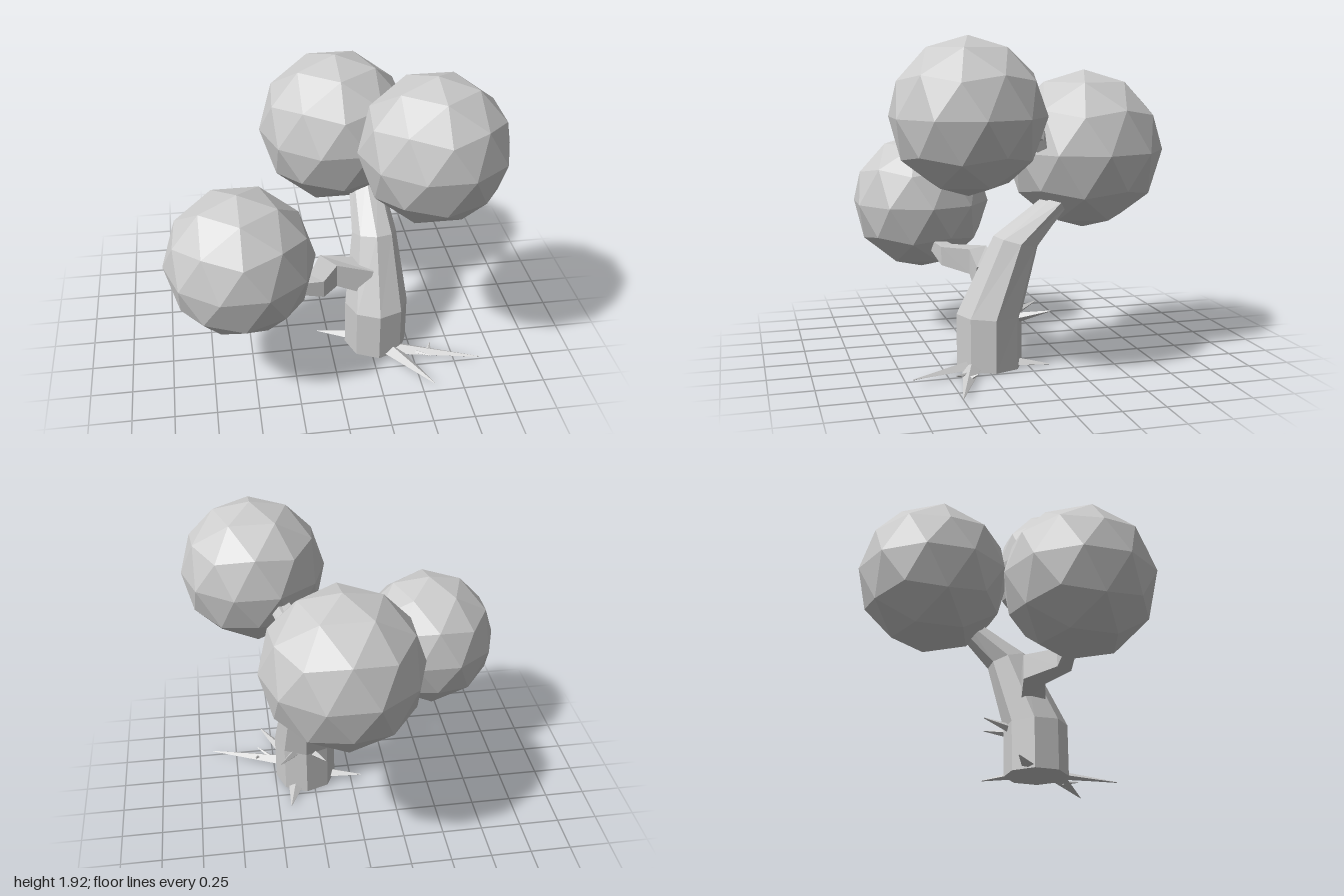
import * as THREE from 'three';

const V = (p) => new THREE.Vector3(...p);

// Skin a row of polygon rings. ring: { c: centre, n: facing, r: radius along u, r2: radius along v }
function loft(rings, sides, ref, turn = 0) {
  const pos = [], index = [];
  for (const { c, n, r, r2 = r } of rings) {
    const axis = V(n).normalize();
    const u = V(ref).addScaledVector(axis, -V(ref).dot(axis)).normalize();
    const v = new THREE.Vector3().crossVectors(axis, u);
    for (let i = 0; i < sides; i++) {
      const a = turn + (i / sides) * Math.PI * 2;
      const p = V(c).addScaledVector(u, Math.cos(a) * r).addScaledVector(v, Math.sin(a) * r2);
      pos.push(p.x, p.y, p.z);
    }
  }
  for (let k = 0; k < rings.length - 1; k++) {
    for (let i = 0; i < sides; i++) {
      const j = (i + 1) % sides, a = k * sides, b = a + sides;
      index.push(a + i, a + j, b + j, a + i, b + j, b + i);
    }
  }
  const top = (rings.length - 1) * sides;
  for (let i = 1; i < sides - 1; i++) {
    index.push(0, i + 1, i, top, top + i, top + i + 1);
  }
  const geo = new THREE.BufferGeometry();
  geo.setAttribute('position', new THREE.Float32BufferAttribute(pos, 3));
  geo.setIndex(index);
  geo.computeVertexNormals();
  return geo;
}

// Pointed spike from a base to a tip
function spike(base, tip, r, r2 = r) {
  const n = V(tip).sub(V(base)).toArray();
  return loft([{ c: base, n, r, r2 }, { c: tip, n, r: 0.003 }], 4, [0, 1, 0]);
}

export function createModel() {
  const group = new THREE.Group();
  const material = new THREE.MeshStandardMaterial({ color: 0xcccccc, flatShading: true });
  const add = (name, geo) => {
    const mesh = new THREE.Mesh(geo, material);
    mesh.name = name;
    group.add(mesh);
    return mesh;
  };

  // Eight-sided trunk, leaning backwards as it rises
  add('trunk', loft([
    { c: [0.295, 0, 0.212], n: [0, 1, 0], r: 0.196 },
    { c: [0.295, 0.31, 0.212], n: [0, 1, -0.03], r: 0.196 },
    { c: [0.3, 0.735, 0.052], n: [0, 1, -0.27], r: 0.138 },
    { c: [0.285, 0.97, -0.21], n: [0, 0.85, -0.6], r: 0.105, r2: 0.07 },
    { c: [0.27, 1.1, -0.31], n: [0, 0.85, -0.6], r: 0.08, r2: 0.05 },
  ], 8, [1, 0, 0], -0.04));

  // Side branch, bending forwards and out into the low crown
  add('sideBranch', loft([
    { c: [0.24, 0.5, 0.2], n: [-1, 0.25, 0], r: 0.12, r2: 0.11 },
    { c: [-0.01, 0.567, 0.205], n: [-1, 0, 0.7], r: 0.108, r2: 0.11 },
    { c: [-0.105, 0.59, 0.38], n: [-1, 0, 0.9], r: 0.08, r2: 0.08 },
    { c: [-0.28, 0.63, 0.42], n: [-1, 0.1, 0.1], r: 0.045 },
  ], 4, [0, 1, 0], Math.PI / 4));

  // Upper branch linking the back crown with the high crown
  add('upperBranch', loft([
    { c: [0.27, 1.0, -0.24], n: [0.2, 1, 0.2], r: 0.06 },
    { c: [0.38, 1.36, -0.05], n: [0.4, 0.6, 0.6], r: 0.075, r2: 0.05 },
    { c: [0.48, 1.45, 0.14], n: [0.5, 0.4, 0.8], r: 0.05 },
  ], 5, [1, 0, 0]));

  // Twigs on the back of the trunk
  add('twig', spike([0.37, 0.29, 0.07], [0.475, 0.345, -0.11], 0.03));
  add('twig', spike([0.25, 0.285, 0.06], [0.19, 0.335, -0.1], 0.03));

  // Roots lying on the ground: base, tip, height, width
  const roots = [
    [[0.36, 0.015, 0.33], [0.91, 0.025, 0.51], 0.04, 0.06],
    [[0.36, 0.015, 0.33], [0.57, 0.035, 0.72], 0.04, 0.06],
    [[0.6, 0.02, 0.41], [0.62, 0.05, 0.36], 0.015, 0.02],
    [[0.5, 0.015, 0.38], [0.6, 0.045, 0.48], 0.015, 0.02],
    [[0.18, 0.018, 0.18], [-0.07, 0.025, 0.11], 0.035, 0.05],
    [[0.37, 0.018, 0.08], [0.42, 0.008, -0.12], 0.035, 0.05],
  ];
  for (const [base, tip, h, w] of roots) {
    const geo = spike(base, tip, h, w);
    // Flatten the underside onto the ground
    const p = geo.attributes.position;
    for (let i = 0; i < p.count; i++) p.setY(i, Math.max(p.getY(i), 0.002));
    geo.computeVertexNormals();
    add('root', geo);
  }

  // Faceted crowns, standing on a corner
  const crowns = [
    ['backCrown', [0.12, 1.247, -0.425], 0.48],
    ['lowCrown', [-0.56, 0.87, 0.455], 0.44],
    ['highCrown', [0.56, 1.488, 0.395], 0.437],
  ];
  const tilt = -Math.atan((1 + Math.sqrt(5)) / 2);
  for (const [name, centre, r] of crowns) {
    add(name, new THREE.IcosahedronGeometry(r, 1).rotateX(tilt)).position.set(...centre);
  }
  return group;
}
